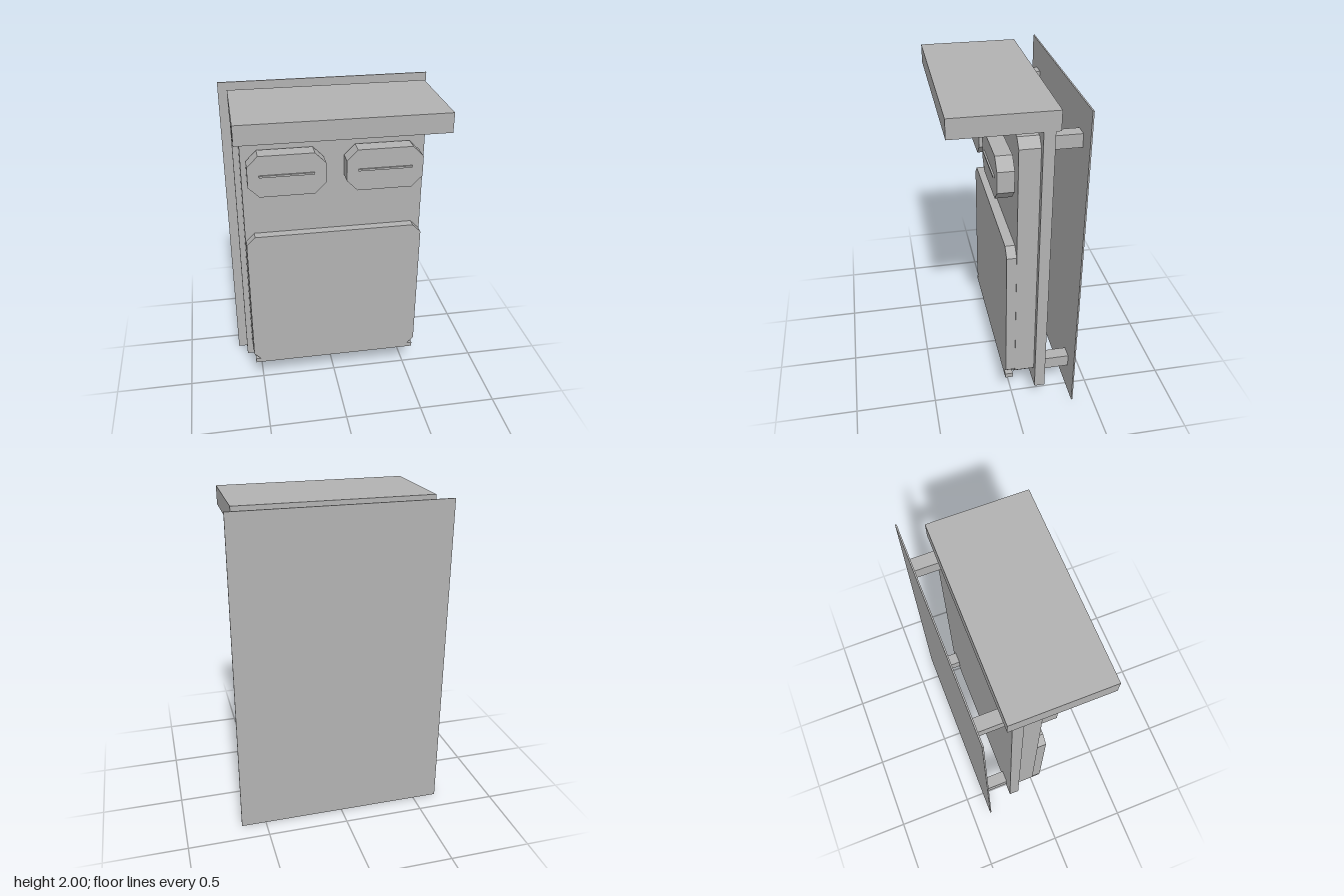
import * as THREE from 'three';

const grey = new THREE.MeshStandardMaterial({ color: 0xb2b2b2 });
grey.name = 'grey';

// Box given by its limits on each axis
function box(name, x0, x1, y0, y1, z0, z1) {
  const mesh = new THREE.Mesh(new THREE.BoxGeometry(x1 - x0, y1 - y0, z1 - z0), grey);
  mesh.position.set((x0 + x1) / 2, (y0 + y1) / 2, (z0 + z1) / 2);
  mesh.name = name;
  return mesh;
}

// Slab with four cut corners, extruded along z
function cutSlab(name, x0, x1, y0, y1, z0, z1, cut) {
  const shape = new THREE.Shape([
    [x0 + cut, y0], [x1 - cut, y0], [x1, y0 + cut], [x1, y1 - cut],
    [x1 - cut, y1], [x0 + cut, y1], [x0, y1 - cut], [x0, y0 + cut],
  ].map(([x, y]) => new THREE.Vector2(x, y)));
  const geometry = new THREE.ExtrudeGeometry(shape, { depth: z1 - z0, bevelEnabled: false });
  const mesh = new THREE.Mesh(geometry, grey);
  mesh.position.z = z0;
  mesh.name = name;
  return mesh;
}

export function createModel() {
  const model = new THREE.Group();
  model.name = 'wallCabinet';

  // Thin wall sheet, backing panel and overhanging canopy
  model.add(
    box('wallSheet', -0.653, 0.653, 0, 2, -0.375, -0.366),
    box('backPanel', -0.597, 0.597, 0.11, 1.88, -0.197, -0.132),
    box('canopy', -0.6, 0.6, 1.88, 1.995, -0.225, 0.375),
  );

  // Main body, lower cover and sill
  model.add(
    cutSlab('body', -0.56, 0.56, 0.18, 1.825, -0.132, -0.01, 0.052),
    cutSlab('lowerCover', -0.556, 0.556, 0.185, 1.142, -0.01, 0.048, 0.054),
    box('sill', -0.547, 0.547, 0.165, 0.195, 0, 0.048),
  );

  for (const side of [-1, 1]) {
    const label = side > 0 ? 'left' : 'right';

    // Pod with a raised slot bar
    const cx = side * 0.295;
    model.add(
      cutSlab(label + 'Pod', cx - 0.233, cx + 0.233, 1.44, 1.7, 0.002, 0.1, 0.066),
      box(label + 'SlotBar', cx - 0.165, cx + 0.165, 1.568, 1.58, 0.09, 0.11),
    );

    // Strip under the canopy
    const sx = side * 0.4;
    model.add(box(label + 'CanopyStrip', sx - 0.15, sx + 0.15, 1.868, 1.885, -0.132, 0.317));

    // Wall brackets
    const bx = side * 0.49;
    for (const [level, y] of [['Upper', 1.783], ['Lower', 0.225]]) {
      model.add(box(label + level + 'Bracket', bx - 0.04, bx + 0.04, y - 0.04, y + 0.04, -0.366, -0.197));
    }
  }
  return model;
}
